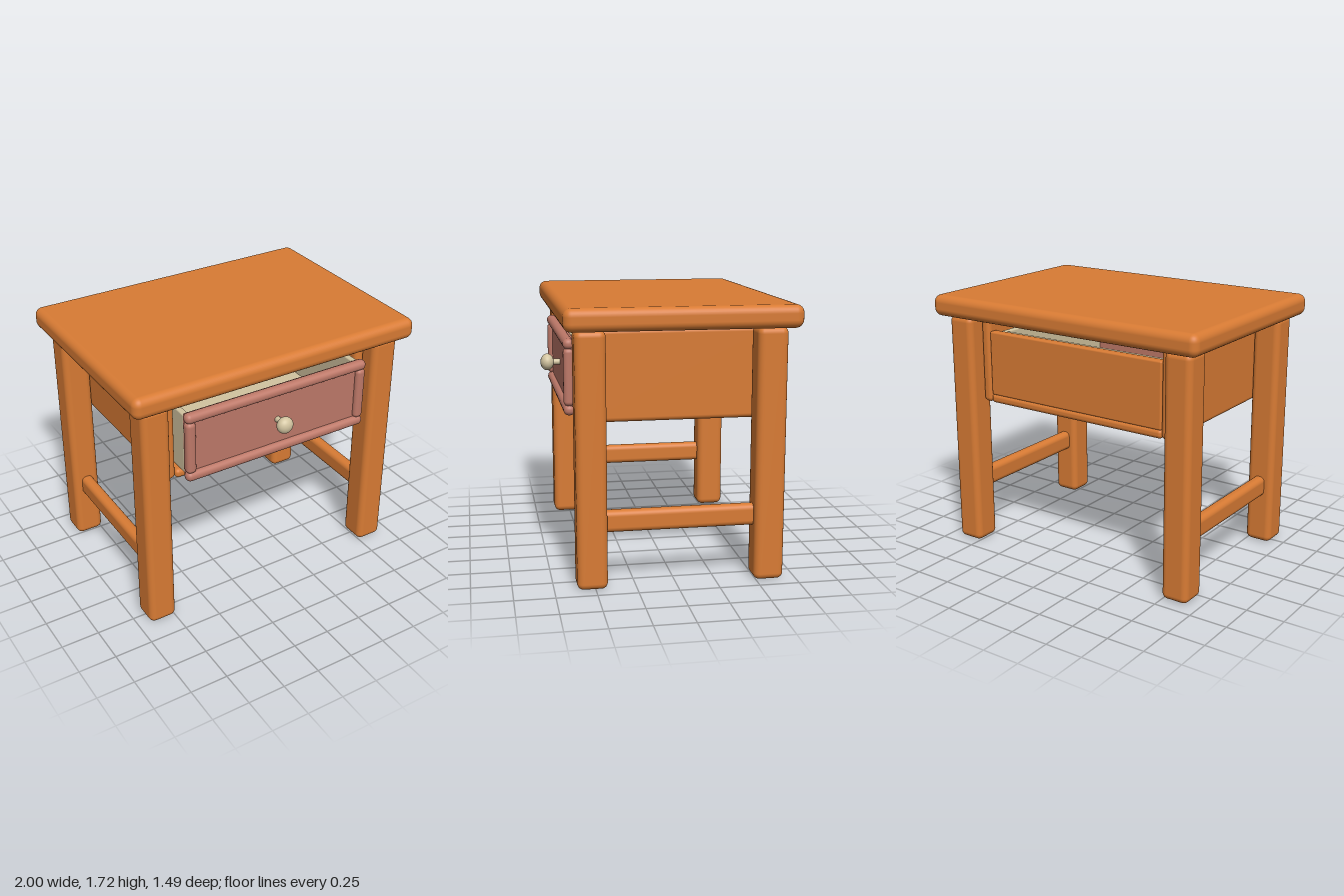
import * as THREE from 'three';
import { RoundedBoxGeometry } from 'three/addons/geometries/RoundedBoxGeometry.js';

const material = (name, color) => {
  const m = new THREE.MeshStandardMaterial({ color });
  m.name = name;
  return m;
};

export function createModel() {
  const table = new THREE.Group();
  table.name = 'sideTable';
  const wood = material('orange wood', 0xd87b34);
  const rose = material('rose wood', 0xbd7868);
  const cream = material('cream', 0xd2c4a0);

  // Rounded box given by its extents on each axis
  const slab = (parent, name, mat, [x0, x1], [y0, y1], [z0, z1], radius) => {
    const mesh = new THREE.Mesh(
      new RoundedBoxGeometry(x1 - x0, y1 - y0, z1 - z0, 4, radius), mat);
    mesh.position.set((x0 + x1) / 2, (y0 + y1) / 2, (z0 + z1) / 2);
    mesh.name = name;
    parent.add(mesh);
    return mesh;
  };
  // Extent mirrored to the given side
  const side = (s, a, b) => (s > 0 ? [a, b] : [-b, -a]);

  slab(table, 'tableTop', wood, [-1, 1], [1.575, 1.715], [-0.745, 0.68], 0.05);

  // Legs, side panels and stretchers
  for (const s of [1, -1]) {
    const label = s > 0 ? 'left' : 'right';
    slab(table, label + 'FrontLeg', wood, side(s, 0.74, 0.925), [0, 1.578], [0.425, 0.612], 0.04);
    slab(table, label + 'BackLeg', wood, side(s, 0.74, 0.925), [0, 1.578], [-0.672, -0.485], 0.04);
    slab(table, label + 'SidePanel', wood, side(s, 0.665, 0.737), [0.995, 1.563], [-0.575, 0.52], 0.03);
    slab(table, label + 'Stretcher', wood, side(s, 0.79, 0.87), [0.34, 0.477], [-0.52, 0.46], 0.035);
  }

  // Drawer housing
  slab(table, 'bottomPanel', wood, [-0.67, 0.67], [0.995, 1.055], [-0.575, 0.53], 0.025);
  slab(table, 'backPanel', wood, [-0.665, 0.665], [1.05, 1.48], [-0.57, -0.51], 0.012);

  // Drawer: open box
  const drawer = new THREE.Group();
  drawer.name = 'drawer';
  table.add(drawer);
  slab(drawer, 'drawerBase', cream, [-0.63, 0.63], [1.06, 1.1], [-0.49, 0.58], 0.01);
  slab(drawer, 'drawerBack', cream, [-0.63, 0.63], [1.06, 1.47], [-0.5, -0.46], 0.01);
  for (const s of [1, -1]) {
    slab(drawer, 'drawerSide', cream, side(s, 0.6, 0.64), [1.06, 1.47], [-0.5, 0.58], 0.01);
  }

  // Drawer front with raised frame
  slab(drawer, 'drawerFront', rose, [-0.64, 0.64], [1.05, 1.48], [0.57, 0.62], 0.01);
  for (const y of [1.06, 1.465]) {
    slab(drawer, 'frameRail', rose, [-0.655, 0.655], [y - 0.033, y + 0.033], [0.585, 0.653], 0.031);
  }
  for (const s of [1, -1]) {
    slab(drawer, 'frameStile', rose, side(s, 0.587, 0.653), [1.085, 1.44], [0.585, 0.652], 0.028);
  }

  // Knob on a short stem
  const stem = new THREE.Mesh(new THREE.CylinderGeometry(0.02, 0.02, 0.08, 20), cream);
  stem.rotation.x = Math.PI / 2;
  stem.position.set(0, 1.26, 0.645);
  stem.name = 'knobStem';
  const knob = new THREE.Mesh(new THREE.SphereGeometry(0.055, 32, 20), cream);
  knob.scale.z = 0.8;
  knob.position.set(0, 1.26, 0.703);
  knob.name = 'knob';
  drawer.add(stem, knob);

  return table;
}
